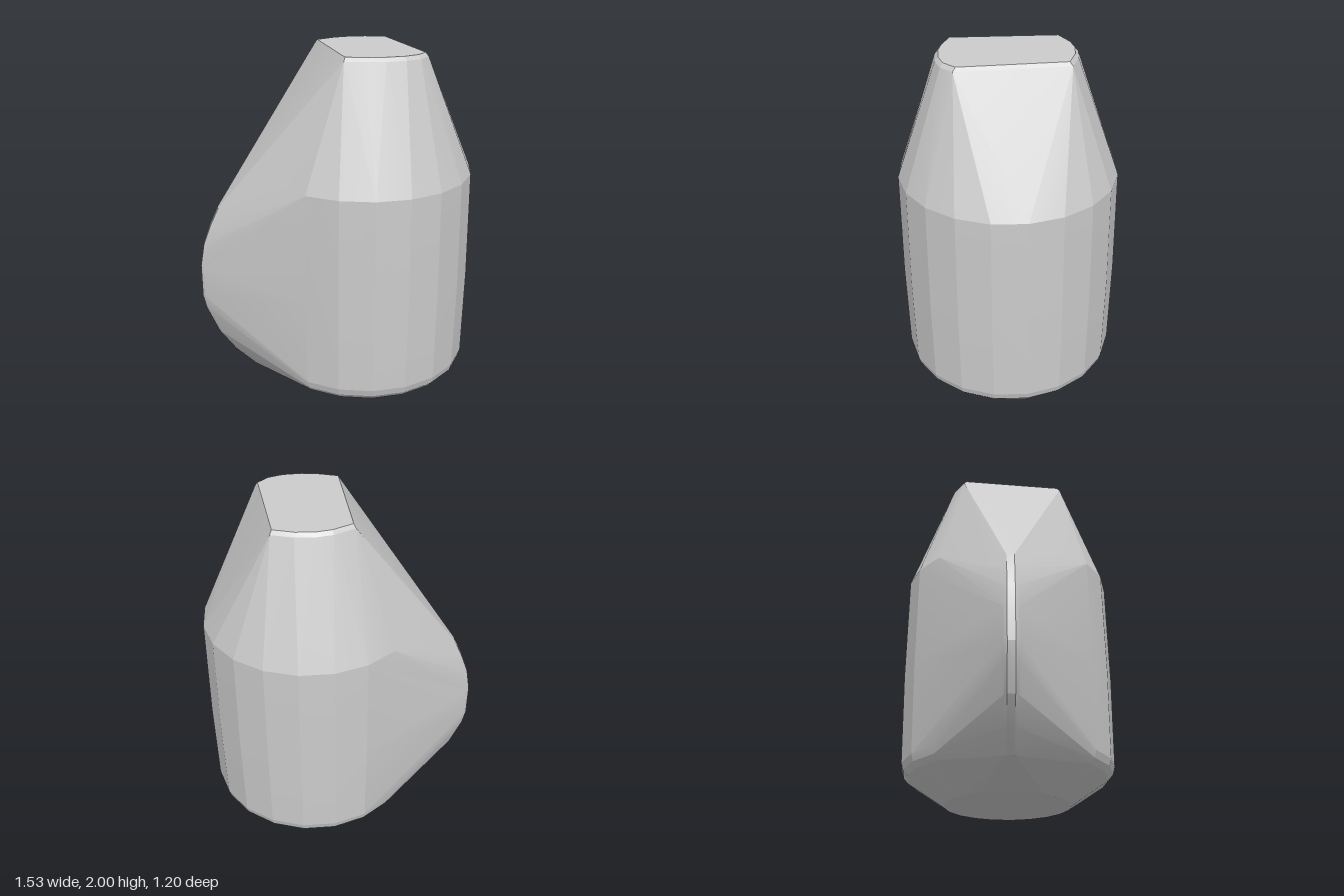
import * as THREE from 'three';
import { ConvexGeometry } from 'three/addons/geometries/ConvexGeometry.js';
import { toCreasedNormals } from 'three/addons/utils/BufferGeometryUtils.js';

const CX = 0.16; // axis of the round body

// Points of a 20-sided ring with flats facing the four axes
function ring(radius, y) {
  const points = [];
  for (let i = 0; i < 20; i++) {
    const a = ((i + 0.5) / 20) * Math.PI * 2;
    points.push(new THREE.Vector3(CX + radius * Math.cos(a), y, radius * Math.sin(a)));
  }
  return points;
}

// Round body: base, rounded lower edge, slightly barrelled wall, shoulder
function bodyPoints() {
  const rings = [[0.355, 0], [0.565, 0.14], [0.59, 0.17], [0.601, 0.21], [0.608, 0.72], [0.601, 1.32]];
  return rings.flatMap(([r, y]) => ring(r, y));
}

// Flat top: two arcs joined by straight slanted sides, with a small bevel
function topPoints() {
  const outline = [
    [-0.14, -0.2], [-0.05, -0.29], [0.03, -0.335], [0.13, -0.36], [0.25, -0.36],
    [0.49, 0.17], [0.45, 0.25], [0.38, 0.305], [0.28, 0.345], [0.19, 0.36], [0.07, 0.36],
  ];
  return outline.flatMap(([x, z]) => [
    new THREE.Vector3(CX + (x - CX) * 0.965, 2, z * 0.965),
    new THREE.Vector3(CX + (x - CX) * 1.015, 1.98, z * 1.015),
  ]);
}

// Thin curved fin on one side, thickened across its own plane
function finPoints() {
  const profile = [
    [-0.47, 0.1], [-0.58, 0.21], [-0.67, 0.34], [-0.735, 0.5], [-0.752, 0.58],
    [-0.752, 0.77], [-0.73, 0.9], [-0.69, 1.01], [-0.64, 1.12],
  ];
  const points = [];
  for (const [x, y] of profile) {
    const z = 0.25 * (CX - x);
    for (const [out, across] of [[0, -0.037], [0.014, -0.02], [0.014, 0.02], [0, 0.037]]) {
      points.push(new THREE.Vector3(x - out + 0.25 * across, y, z + out * 0.25 + across));
    }
  }
  return points;
}

export function createModel() {
  const group = new THREE.Group();
  group.name = 'jugHull';
  // One convex skin stretched around body, top and fin
  const skin = new ConvexGeometry([...bodyPoints(), ...topPoints(), ...finPoints()]);
  const hull = new THREE.Mesh(
    toCreasedNormals(skin, 0.2),
    new THREE.MeshStandardMaterial({ color: 0xcccccc })
  );
  hull.name = 'hull';
  group.add(hull);
  return group;
}
